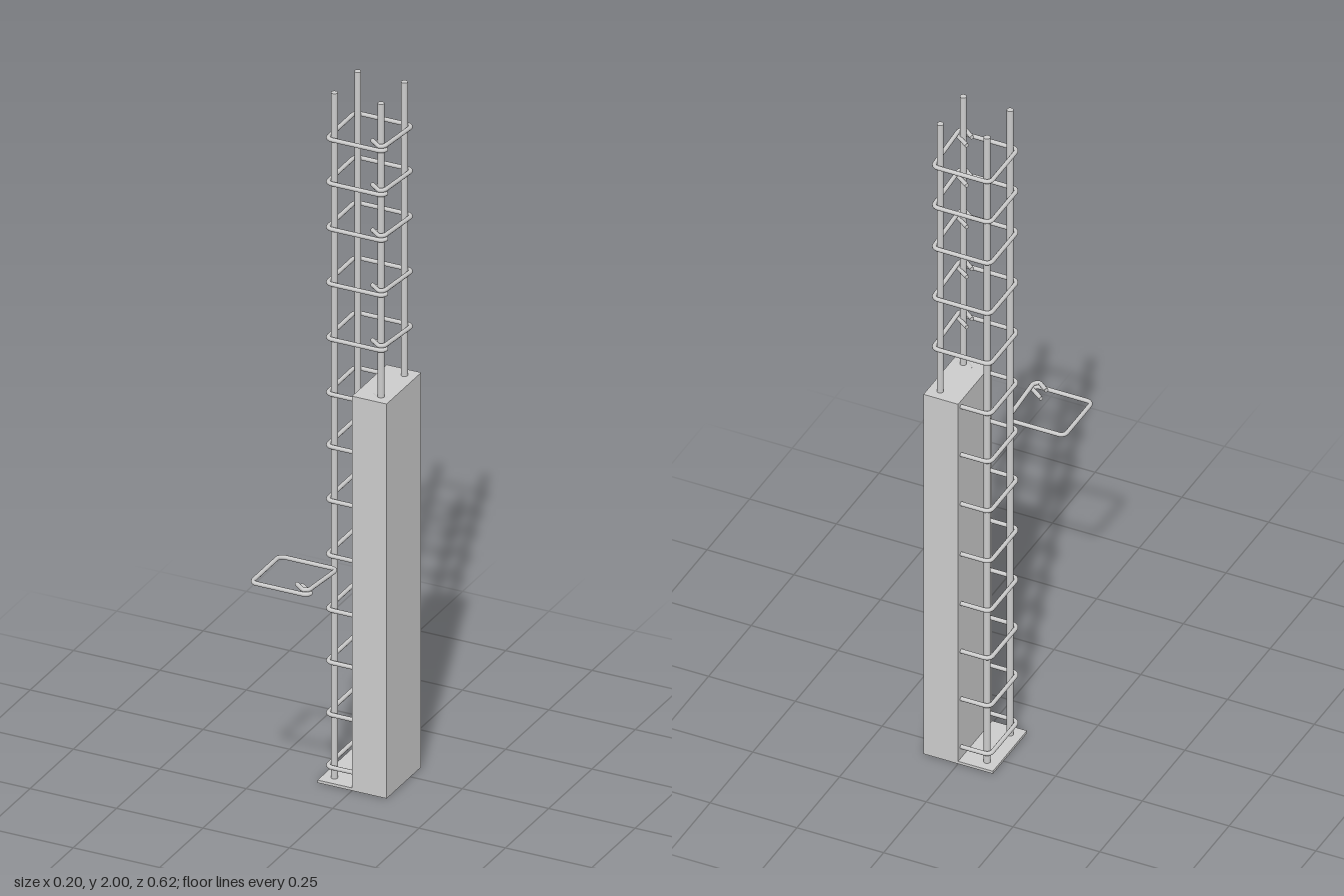
import * as THREE from 'three';

const material = new THREE.MeshStandardMaterial({ color: 0xcccccc });
const WIRE = 0.006;      // stirrup wire radius
const HALF = 0.083;      // half width of a stirrup, to the wire centre
const BEND = 0.0155;     // corner bend radius
const RISE = 0.013;      // height gained where the two ends overlap
const CAGE_Z = -0.2125;

function addMesh(parent, name, geometry, x, y, z) {
  const mesh = new THREE.Mesh(geometry, material);
  mesh.name = name;
  mesh.position.set(x, y, z);
  parent.add(mesh);
  return mesh;
}

// Wire path: hook, four sides and a repeated front corner, ending in the raised hook
function stirrupPath() {
  const c = HALF - BEND;
  const points = [new THREE.Vector3(0.043, 0, 0.039)];
  const corners = [[1, 1], [-1, 1], [-1, -1], [1, -1], [1, 1]];
  const lift = [0, 0, 0, 0, RISE];
  corners.forEach(([sx, sz], i) => {
    for (let k = 0; k <= 6; k++) {
      const a = (i + k / 6) * Math.PI / 2;
      points.push(new THREE.Vector3(
        sx * c + BEND * Math.cos(a), lift[i], sz * c + BEND * Math.sin(a)));
    }
  });
  points.push(new THREE.Vector3(0.039, RISE, 0.061));
  const path = new THREE.CurvePath();
  for (let i = 1; i < points.length; i++) {
    path.add(new THREE.LineCurve3(points[i - 1], points[i]));
  }
  return path;
}

const path = stirrupPath();
const wireGeometry = new THREE.TubeGeometry(path, 180, WIRE, 10, false);
const capGeometry = new THREE.CircleGeometry(WIRE, 10);

function makeStirrup(name, y, z) {
  const group = new THREE.Group();
  group.name = name;
  addMesh(group, 'stirrupWire', wireGeometry, 0, 0, 0);
  // Flat ends of the hooks
  for (const [t, sign] of [[0, -1], [1, 1]]) {
    const p = path.getPointAt(t);
    const cap = addMesh(group, 'hookEnd', capGeometry, p.x, p.y, p.z);
    cap.lookAt(p.clone().addScaledVector(path.getTangentAt(t), sign));
  }
  group.position.set(0, y, z);
  return group;
}

export function createModel() {
  const model = new THREE.Group();
  model.name = 'reinforcedColumn';

  // Half-cut concrete column on a thin square base
  addMesh(model, 'concrete', new THREE.BoxGeometry(0.1, 1.147, 0.2), 0.05, 0.5735, CAGE_Z);
  addMesh(model, 'basePlate', new THREE.BoxGeometry(0.1, 0.008, 0.2), -0.05, 0.004, CAGE_Z);

  // Four upright bars
  const barGeometry = new THREE.CylinderGeometry(0.009, 0.009, 2, 20);
  for (const sx of [-1, 1]) {
    for (const sz of [-1, 1]) {
      addMesh(model, 'uprightBar', barGeometry, sx * 0.0675, 1, CAGE_Z + sz * 0.0675);
    }
  }

  // Stirrups up the cage
  const heights = [0.045, 0.198, 0.35, 0.502, 0.66, 0.82, 0.977, 1.13,
    1.29, 1.45, 1.61, 1.742, 1.87];
  for (const y of heights) model.add(makeStirrup('stirrup', y - 0.001, CAGE_Z));

  // Single stirrup shown apart, in front of the column
  model.add(makeStirrup('looseStirrup', 0.779, 0.2235));

  return model;
}
